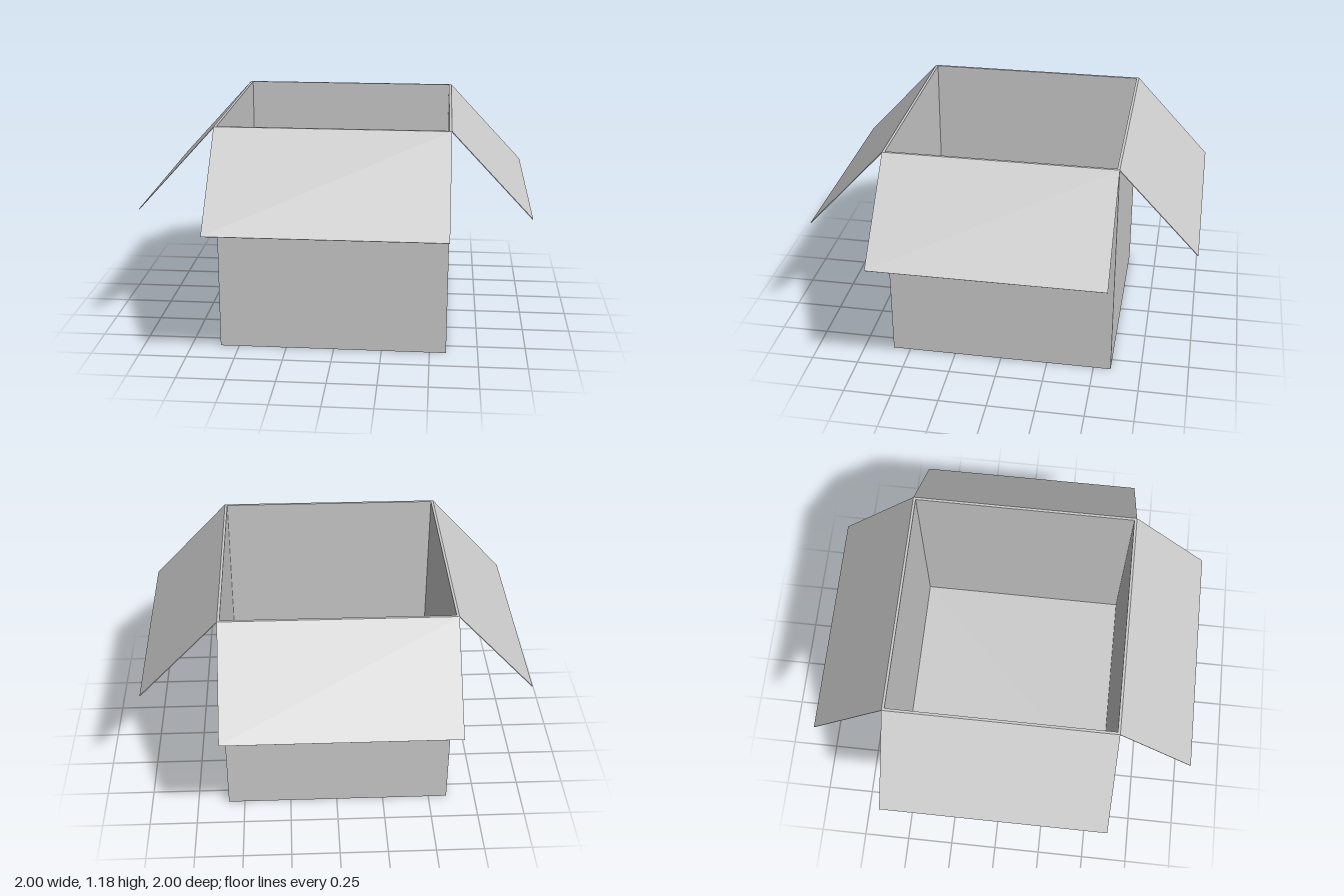
import * as THREE from 'three';

const SIZE = 1.184, HALF = SIZE / 2, HEIGHT = 1.182;
const WALL = 0.013, FLAP = 0.004;
const SHIFT = -0.006; // carton sits slightly off the centre of the flaps
const TIP_Y = 0.742, TIP = 1;

const material = new THREE.MeshStandardMaterial({ color: 0xcccccc, flatShading: true });

function square(half, Type) {
  return new Type([[-1, -1], [1, -1], [1, 1], [-1, 1]].map(([x, y]) => new THREE.Vector2(x * half, y * half)));
}

function addMesh(parent, name, geometry) {
  const mesh = new THREE.Mesh(geometry, material);
  mesh.name = name;
  parent.add(mesh);
  return mesh;
}

export function createModel() {
  const group = new THREE.Group();
  group.name = 'openCarton';

  // Four walls as one square tube
  const outline = square(HALF, THREE.Shape);
  outline.holes.push(square(HALF - WALL, THREE.Path));
  const walls = new THREE.ExtrudeGeometry(outline, { depth: HEIGHT, bevelEnabled: false });
  walls.rotateX(-Math.PI / 2);
  addMesh(group, 'walls', walls).position.x = SHIFT;

  // Floor panel inside the walls
  const inner = SIZE - 2 * WALL;
  const floor = new THREE.BoxGeometry(inner, WALL, inner);
  addMesh(group, 'floor', floor).position.set(SHIFT, WALL / 2, 0);

  // Flaps hinged on the rim, folded outward and down
  const sides = [
    ['frontFlap', 0, HALF, 0],
    ['leftFlap', Math.PI / 2, HALF + SHIFT, 0],
    ['backFlap', Math.PI, HALF, 0],
    ['rightFlap', -Math.PI / 2, HALF - SHIFT, 0],
  ];
  for (const [name, turn, hinge] of sides) {
    const reach = TIP - hinge, drop = HEIGHT - TIP_Y;
    const length = Math.hypot(reach, drop);
    const geometry = new THREE.BoxGeometry(SIZE, FLAP, length);
    geometry.translate(0, -FLAP / 2, length / 2);
    geometry.rotateX(Math.atan2(drop, reach));
    geometry.translate(0, HEIGHT, hinge);
    geometry.rotateY(turn);
    const flap = addMesh(group, name, geometry);
    if (Math.abs(Math.sin(turn)) < 0.5) flap.position.x = SHIFT;
  }
  return group;
}
